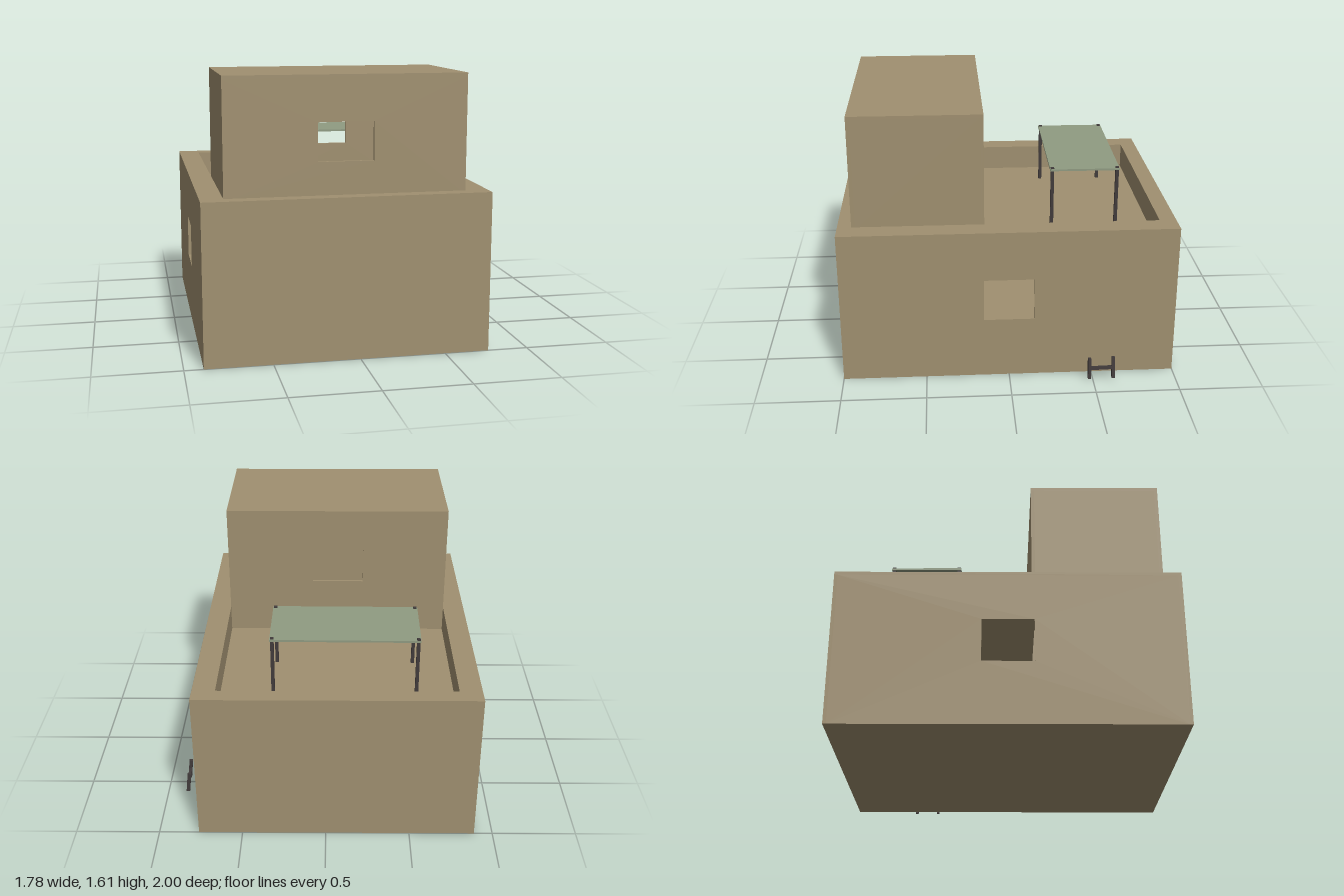
import * as THREE from 'three';

const clay = new THREE.MeshStandardMaterial({ color: 0xa09070 });
clay.name = 'clay';
const sage = new THREE.MeshStandardMaterial({ color: 0x909b82 });
sage.name = 'sage canopy';
const dark = new THREE.MeshStandardMaterial({ color: 0x413b3b });
dark.name = 'dark timber';

const T = 0.02; // wall thickness

// Box given by its minimum and maximum corners
function box(name, mat, [x0, y0, z0], [x1, y1, z1]) {
  const mesh = new THREE.Mesh(new THREE.BoxGeometry(x1 - x0, y1 - y0, z1 - z0), mat);
  mesh.position.set((x0 + x1) / 2, (y0 + y1) / 2, (z0 + z1) / 2);
  mesh.name = name;
  return mesh;
}

// Flat slab in the xy plane with an optional rectangular hole; rectangles are [x0, y0, x1, y1]
function slab(name, [x0, y0, x1, y1], hole) {
  const rect = (s, a, b, c, d) => s.moveTo(a, b).lineTo(c, b).lineTo(c, d).lineTo(a, d).closePath();
  const shape = rect(new THREE.Shape(), x0, y0, x1, y1);
  if (hole) shape.holes.push(rect(new THREE.Path(), ...hole));
  const geo = new THREE.ExtrudeGeometry(shape, { depth: T, bevelEnabled: false });
  const mesh = new THREE.Mesh(geo, clay);
  mesh.name = name;
  return mesh;
}

export function createModel() {
  const model = new THREE.Group();
  model.name = 'house';

  // Lower storey: floor, thin walls, side windows
  const L = -0.89, R = 0.762, top = 0.938;
  const lower = new THREE.Group();
  lower.name = 'lowerStorey';
  lower.add(box('groundFloor', clay, [L + T, 0, -1 + T], [R - T, T, 1 - T]));
  for (const [name, z] of [['frontWall', 1 - T], ['backWall', -1]])
    lower.add(box(name, clay, [L, 0, z], [R, top - T, z + T]));
  for (const [name, x] of [['leftWall', R - T], ['rightWall', L]]) {
    const wall = slab(name, [-1 + T, 0, 1 - T, top - T], [-0.15, 0.375, 0.15, 0.635]);
    wall.rotation.y = Math.PI / 2;
    wall.position.x = x;
    lower.add(wall);
  }

  // Ledge around the roof, open over the room and the terrace
  const l = -0.758, r = 0.628, zBack = -0.9, zMid = 0.14, zFront = 0.917;
  const ledge = slab('roofLedge', [L, -1, R, 1], [l, -zFront, r, -zBack]);
  ledge.rotation.x = -Math.PI / 2;
  ledge.position.y = top - T;
  lower.add(ledge);

  // Sunken terrace and the inside of its parapet
  const deck = 0.78;
  lower.add(
    box('terraceFloor', clay, [L + T, deck - T, -1 + T], [R - T, deck, zMid]),
    box('parapetLeft', clay, [r, deck, zBack], [r + T, top - T, zMid]),
    box('parapetRight', clay, [l - T, deck, zBack], [l, top - T, zMid]),
    box('parapetBack', clay, [l - T, deck, zBack - T], [r + T, top - T, zBack])
  );
  model.add(lower);

  // Upper room, open to the storey below
  const roof = 1.61;
  const upper = new THREE.Group();
  upper.name = 'upperRoom';
  const win = [-0.23, 1.127, 0.09, 1.348];
  for (const [name, z, y] of [['upperFront', zFront - T, top - T], ['upperBack', zMid, deck - T]]) {
    const wall = slab(name, [l, y, r, roof - T], win);
    wall.position.z = z;
    upper.add(wall);
  }
  for (const [name, x] of [['upperLeft', r - T], ['upperRight', l]])
    upper.add(box(name, clay, [x, top - T, zMid + T], [x + T, roof - T, zFront - T]));
  upper.add(box('upperRoof', clay, [l, roof - T, zMid], [r, roof, zFront]));
  model.add(upper);

  // Canopy on four posts, turned a touch
  const canopy = new THREE.Group();
  canopy.name = 'canopy';
  canopy.position.set(-0.112, 0, -0.494);
  canopy.rotation.y = -0.008;
  canopy.add(box('canopySheet', sage, [-0.437, 1.147, -0.213], [0.437, 1.159, 0.213]));
  for (const x of [-0.422, 0.422])
    for (const z of [-0.199, 0.199])
      canopy.add(box('canopyPost', dark, [x - 0.01, deck, z - 0.01], [x + 0.01, 1.166, z + 0.01]));
  model.add(canopy);

  // Small leaning H-shaped rack beside the wall
  const rack = new THREE.Group();
  rack.name = 'rack';
  rack.position.set(0.868, 0.087, -0.547);
  rack.rotation.set(0, 0.04, 0.11);
  for (const z of [-0.072, 0.072])
    rack.add(box('rackPost', dark, [-0.011, -0.066, z - 0.009], [0.011, 0.066, z + 0.009]));
  rack.add(box('rackBar', dark, [-0.009, -0.009, -0.063], [0.009, 0.009, 0.063]));
  model.add(rack);

  return model;
}
